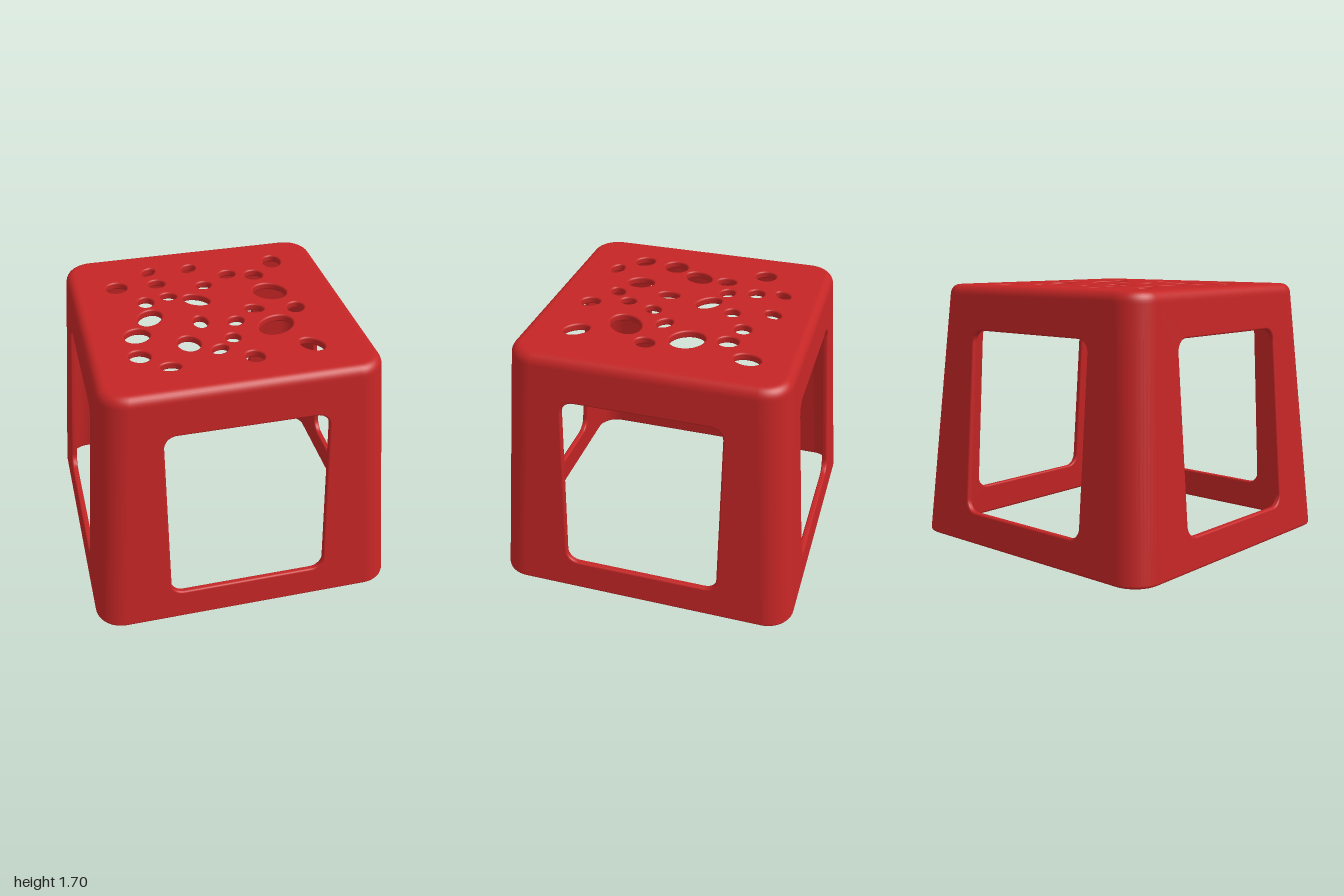
import * as THREE from 'three';

const HEIGHT = 1.7, WALL = 0.04, SEAT = 0.05, CORNER = 0.18, ARC = 12, FILLET = 0.012;
const FOOT = 0.02, SHOULDER = 1.63;            // y range of the plain outer wall
const half = (y) => 1 - 0.078 * y;             // half width of the tapered body

// seat holes: x, z, radius, radius, tilt in degrees
const HOLES = [
  [-0.32, -0.6, 0.058, 0.04, 50], [-0.04, -0.59, 0.061, 0.045, 50], [0.55, -0.56, 0.085, 0.062, 80],
  [-0.565, -0.43, 0.07, 0.07, 0], [-0.295, -0.425, 0.057, 0.054, 0], [0.2, -0.45, 0.06, 0.053, 30],
  [0.375, -0.4, 0.062, 0.066, 0], [0.01, -0.335, 0.053, 0.048, 20], [-0.41, -0.195, 0.052, 0.064, 0],
  [-0.25, -0.24, 0.055, 0.047, -20], [-0.08, -0.155, 0.095, 0.062, -40], [0.42, -0.155, 0.115, 0.1, -45],
  [-0.42, 0.005, 0.1, 0.075, 60], [-0.535, 0.2, 0.085, 0.078, 45], [-0.56, 0.435, 0.07, 0.062, -45],
  [-0.4, 0.585, 0.063, 0.043, -8], [-0.24, 0.36, 0.07, 0.088, 8], [-0.115, 0.125, 0.046, 0.072, 0],
  [0.105, 0.165, 0.057, 0.049, 50], [0.04, 0.355, 0.046, 0.052, 0], [-0.07, 0.465, 0.058, 0.045, 40],
  [0.115, 0.59, 0.057, 0.063, 15], [0.26, 0.04, 0.063, 0.047, -25], [0.525, 0.085, 0.055, 0.065, -25],
  [0.34, 0.27, 0.13, 0.095, 38], [0.49, 0.54, 0.085, 0.06, -50],
];

// counter-clockwise rounded rectangle
function roundRect(w, h, r, cy = 0) {
  const pts = [];
  for (let k = 0; k < 4; k++) {
    const sx = k === 0 || k === 3 ? 1 : -1, sy = k < 2 ? 1 : -1;
    for (let i = 0; i <= ARC; i++) {
      const a = (k + i / ARC) * Math.PI / 2;
      pts.push(new THREE.Vector2(sx * (w - r) + r * Math.cos(a), cy + sy * (h - r) + r * Math.sin(a)));
    }
  }
  return pts;
}

function ellipse([x, z, a, b, tilt], grow) {
  const curve = new THREE.EllipseCurve(x, -z, a + grow, b + grow, 0, Math.PI * 2, false, tilt * Math.PI / 180);
  return curve.getPoints(36).slice(0, -1);
}

const windowOutline = (grow) => roundRect(0.51 + grow, 0.6 + grow, 0.08 + grow, 0.81);
const level = (pts, y) => pts.map((p) => new THREE.Vector3(p.x, y, -p.y));
const lean = (pts, depth) => pts.map((p) => new THREE.Vector3(p.x, p.y, half(p.y) - depth));

// skin through closed rings; quads rejected by keep() still shape the normals
function loft(rings, keep = () => true) {
  const n = rings[0].length, all = [], kept = [];
  for (let i = 0; i < rings.length - 1; i++) {
    for (let j = 0; j < n; j++) {
      const a = i * n + j, b = i * n + (j + 1) % n;
      const quad = [a, b, b + n, a, b + n, a + n];
      all.push(...quad);
      if (keep(i, j)) kept.push(...quad);
    }
  }
  const geo = new THREE.BufferGeometry().setFromPoints(rings.flat());
  geo.setIndex(all);
  geo.computeVertexNormals();
  geo.setIndex(kept);
  return geo;
}

// flat face with holes, placed by a rule
function sheet(outline, holes, place, flip) {
  const shape = new THREE.Shape(outline);
  shape.holes = holes.map((h) => new THREE.Path(h));
  const geo = new THREE.ShapeGeometry(shape);
  const pos = geo.attributes.position;
  for (let i = 0; i < pos.count; i++) pos.setXYZ(i, ...place(pos.getX(i), pos.getY(i)));
  if (flip) geo.index.array.reverse();
  geo.computeVertexNormals();
  return geo;
}

export function createModel() {
  const red = new THREE.MeshStandardMaterial({ color: 0xc42525 });
  red.name = 'red plastic';
  const model = new THREE.Group();
  model.name = 'stool';
  const add = (parent, name, geo) => {
    const mesh = new THREE.Mesh(geo, red);
    mesh.name = name;
    parent.add(mesh);
  };

  // corner legs, bottom lip and rounded top edge as one skin
  const ring = (h, r, y) => level(roundRect(h, h, r), y);
  const wallRing = (inset, y) => ring(half(y) - inset, CORNER - inset, y);
  const rings = [wallRing(WALL, HEIGHT - SEAT)];
  for (let i = 0; i <= 8; i++) {
    const a = i / 8 * Math.PI;
    rings.push(wallRing(WALL / 2 * (1 + Math.cos(a)), FOOT * (1 - Math.sin(a))));
  }
  const outerWall = rings.length - 1;
  for (let i = 0; i <= 8; i++) {
    const a = i / 8 * Math.PI / 2, inset = 0.06 * (1 - Math.cos(a));
    rings.push(ring(half(SHOULDER) - inset, CORNER - inset, SHOULDER + (HEIGHT - SHOULDER) * Math.sin(a)));
  }
  const rimHalf = half(SHOULDER) - 0.07, rimRadius = CORNER - 0.07;
  rings.push(ring(rimHalf, rimRadius, HEIGHT));
  const isFlatSide = (j) => j % (ARC + 1) === ARC;
  add(model, 'legsAndEdges', loft(rings, (i, j) => !((i === 0 || i === outerWall) && isFlatSide(j))));

  // side panels with a window, inner and outer face plus rounded window rim
  const panel = (depth, top, flip) => {
    const b = half(FOOT) - CORNER, t = half(top) - CORNER;
    const outline = [[-b, FOOT], [b, FOOT], [t, top], [-t, top]].map((p) => new THREE.Vector2(...p));
    return sheet(outline, [windowOutline(FILLET)], (x, y) => [x, y, half(y) - depth], flip);
  };
  // rounded edge section: how far the hole grows, depth below the face
  const edgeProfile = (thickness) => {
    const pts = [];
    for (let i = 0; i <= 4; i++) {
      const a = i / 4 * Math.PI / 2;
      pts.push([FILLET * (1 - Math.sin(a)), FILLET * (1 - Math.cos(a))]);
    }
    return [...pts, ...pts.map(([g, d]) => [g, thickness - d]).reverse()];
  };
  const outerFace = panel(0, SHOULDER, false);
  const innerFace = panel(WALL, HEIGHT - SEAT, true);
  const windowRim = loft(edgeProfile(WALL).map(([g, d]) => lean(windowOutline(g), d)));
  ['front', 'left', 'back', 'right'].forEach((name, k) => {
    const side = new THREE.Group();
    side.name = name + 'Panel';
    side.rotation.y = k * Math.PI / 2;
    add(side, 'outerFace', outerFace);
    add(side, 'innerFace', innerFace);
    add(side, 'windowRim', windowRim);
    model.add(side);
  });

  // seat faces and the walls of its oval holes
  const seat = (h, r, y, flip) =>
    sheet(roundRect(h, h, r), HOLES.map((o) => ellipse(o, FILLET)), (x, v) => [x, y, -v], flip);
  const under = HEIGHT - SEAT;
  add(model, 'seatTop', seat(rimHalf, rimRadius, HEIGHT, false));
  add(model, 'seatUnderside', seat(half(under) - WALL, CORNER - WALL, under, true));
  for (const hole of HOLES) {
    add(model, 'seatHole', loft(edgeProfile(SEAT).map(([g, d]) => level(ellipse(hole, g), HEIGHT - d))));
  }
  return model;
}
